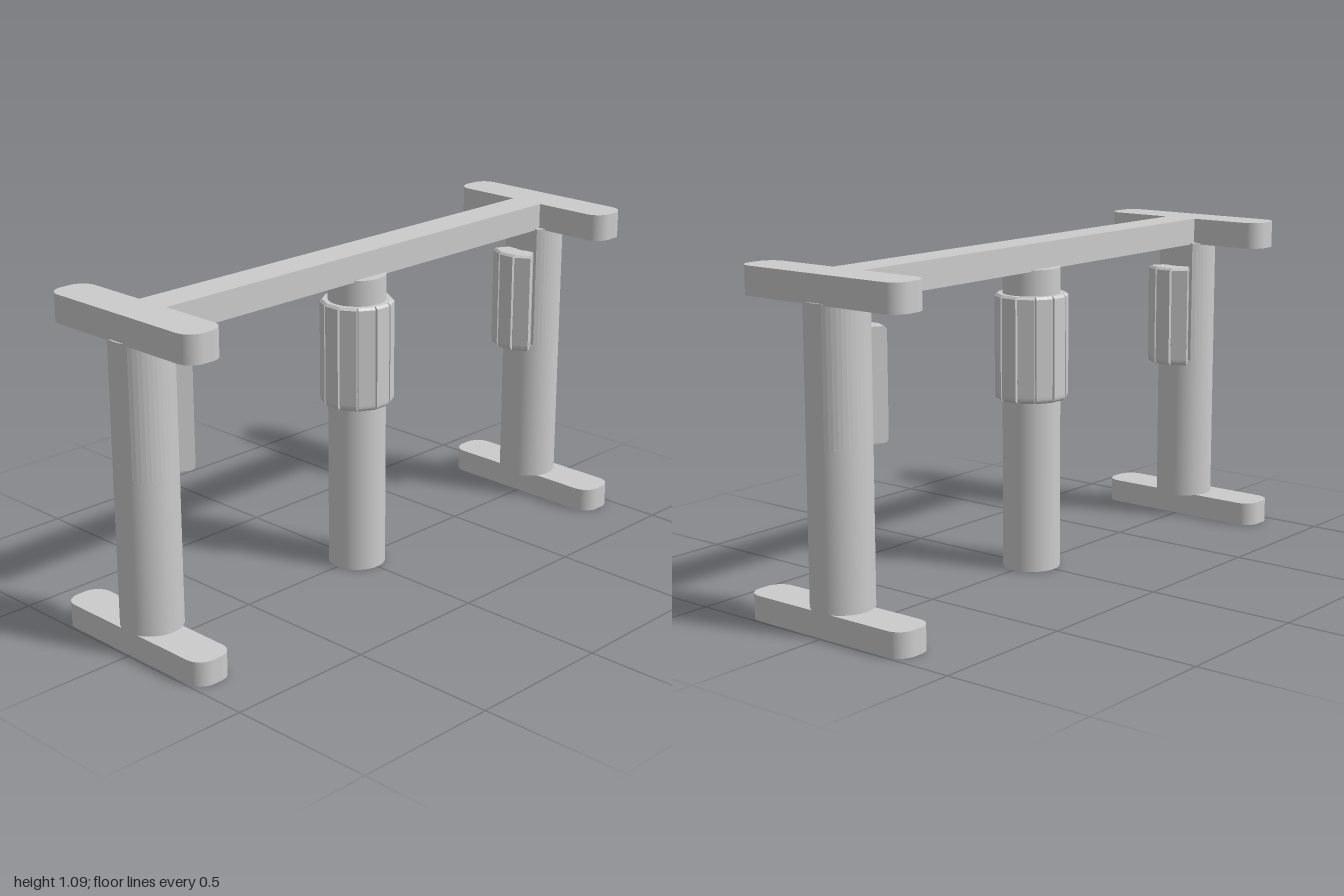
import * as THREE from 'three';

const material = new THREE.MeshStandardMaterial({ color: 0xcccccc });

function add(parent, name, geometry, x = 0, y = 0, z = 0) {
  const mesh = new THREE.Mesh(geometry, material);
  mesh.name = name;
  mesh.position.set(x, y, z);
  parent.add(mesh);
  return mesh;
}

function cylinder(radius, height, sides = 48) {
  return new THREE.CylinderGeometry(radius, radius, height, sides);
}

// Plan outline pulled up into a solid standing on y = 0
function upright(shape, height) {
  return new THREE.ExtrudeGeometry(shape, { depth: height, bevelEnabled: false, curveSegments: 16 })
    .rotateX(-Math.PI / 2);
}

function roundedBar(width, depth, height, r) {
  const x = width / 2, z = depth / 2;
  const s = new THREE.Shape();
  s.moveTo(-x + r, -z);
  s.lineTo(x - r, -z);
  s.absarc(x - r, -z + r, r, -Math.PI / 2, 0);
  s.absarc(x - r, z - r, r, 0, Math.PI / 2);
  s.absarc(-x + r, z - r, r, Math.PI / 2, Math.PI);
  s.absarc(-x + r, -z + r, r, Math.PI, Math.PI * 1.5);
  return upright(s, height);
}

// Grip slat: side profile with a rounded lower corner, facing +x
function slat(inner, outer, width) {
  const s = new THREE.Shape();
  s.moveTo(inner, 0.57);
  s.lineTo(outer - 0.016, 0.57);
  s.quadraticCurveTo(outer, 0.57, outer, 0.59);
  s.lineTo(outer, 0.912);
  s.lineTo(outer - 0.008, 0.92);
  s.lineTo(inner, 0.92);
  s.closePath();
  return new THREE.ExtrudeGeometry(s, { depth: width, bevelEnabled: false, curveSegments: 5 })
    .translate(0, 0, -width / 2);
}

// Slats spaced 30 degrees apart, starting at a given angle index
function addSlats(parent, geometry, from, to) {
  for (let i = from; i <= to; i++) {
    add(parent, 'gripSlat', geometry).rotation.y = i * Math.PI / 6;
  }
}

// End frame with its inner side towards -z
function endFrame() {
  const g = new THREE.Group();
  const bar = roundedBar(0.64, 0.14, 0.09, 0.055);
  add(g, 'topBar', bar, 0, 1, 0.922);
  add(g, 'footBar', roundedBar(0.64, 0.14, 0.08, 0.055), 0, 0, 0.922);
  add(g, 'lowerPost', cylinder(0.099, 0.5), 0, 0.33, 0.9);

  // Upper post is cut flat on its inner side
  const cut = Math.acos(0.72);
  const plan = new THREE.Shape();
  plan.absarc(0, 0, 0.099, Math.PI / 2 + cut, Math.PI * 2.5 - cut);
  plan.closePath();
  add(g, 'upperPost', upright(plan, 0.43), 0, 0.575, 0.9);

  const grip = new THREE.Group();
  grip.name = 'innerGrip';
  grip.position.z = 0.868;
  addSlats(grip, slat(0.045, 0.119, 0.056), 2, 4);
  add(grip, 'gripBand', new THREE.CylinderGeometry(0.113, 0.108, 0.07, 12, 1, false, Math.PI * 0.75, Math.PI / 2), 0, 0.612, 0);
  add(grip, 'gripCore', cylinder(0.07, 0.34, 24), 0, 0.745, 0);
  g.add(grip);
  return g;
}

export function createModel() {
  const model = new THREE.Group();
  model.name = 'frameStand';

  const front = endFrame();
  front.name = 'frontEnd';
  const back = endFrame();
  back.name = 'backEnd';
  back.rotation.y = Math.PI;
  model.add(front, back);

  add(model, 'longBeam', new THREE.BoxGeometry(0.12, 0.09, 1.76), 0, 1.045, 0);

  // Centre post with a ring of slats
  const centre = new THREE.Group();
  centre.name = 'centrePost';
  add(centre, 'post', cylinder(0.095, 1.005), 0, 0.5025, 0);
  addSlats(centre, slat(0.08, 0.118, 0.056), 0, 11);
  add(centre, 'gripCore', cylinder(0.103, 0.34), 0, 0.745, 0);
  add(centre, 'gripBand', new THREE.CylinderGeometry(0.113, 0.108, 0.07, 24), 0, 0.612, 0);
  model.add(centre);

  return model;
}
